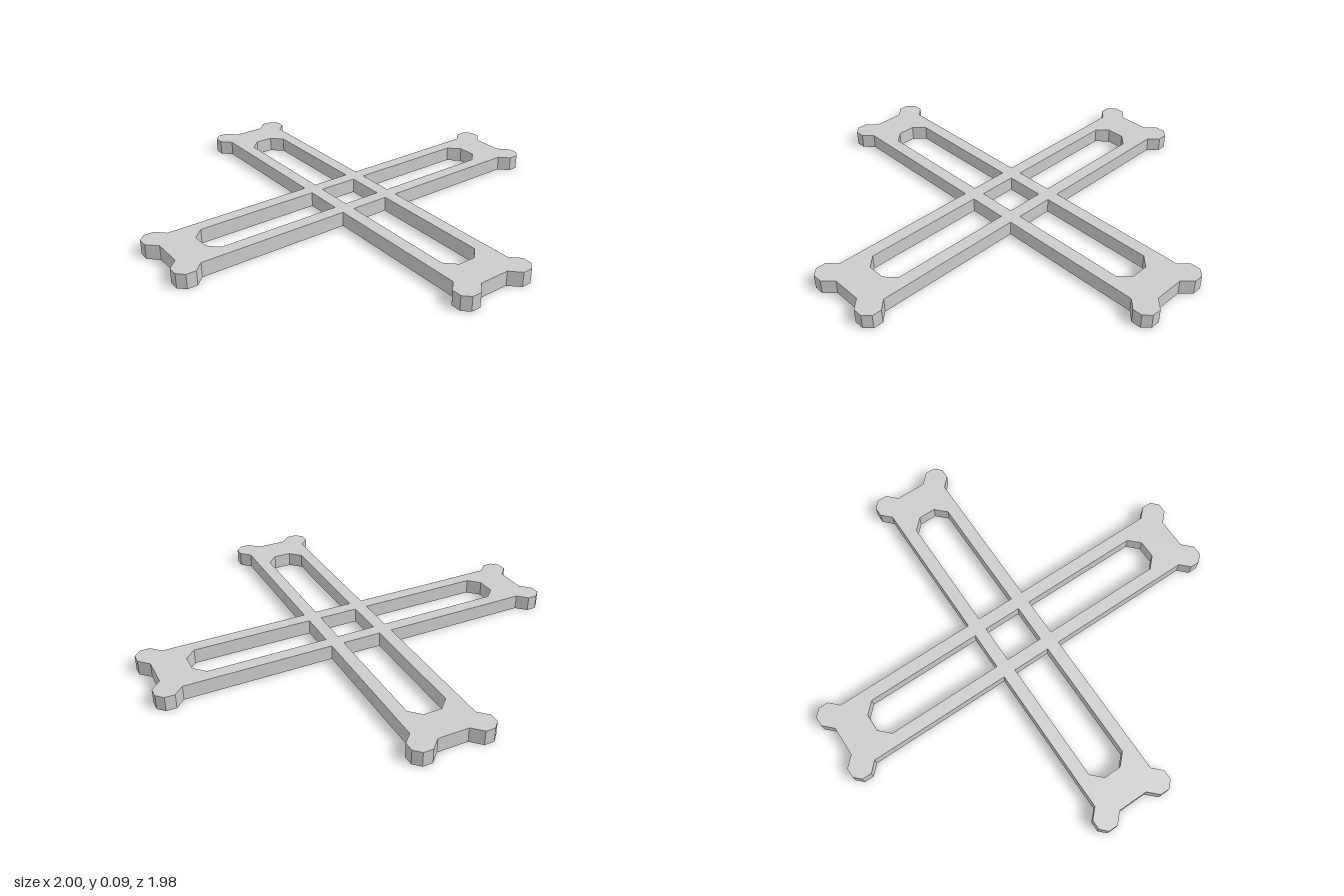
import * as THREE from 'three';

const HEIGHT = 0.085;
const CENTRE_Z = -0.01; // crossing point of the two bars
const OUTER = 0.265; // half width of a bar, measured along the axes
const INNER = 0.16; // half width of the slot in a bar

// Half outline of an arm end; the other half mirrors across the diagonal
const EAR = [[0.737, 0.862], [0.737, 0.942], [0.697, 0.982], [0.642, 0.982], [0.602, 0.942], [0.602, 0.867]];
const SLOT_END = [[0.703, 0.543], [0.703, 0.63]];

// Four arms counter-clockwise; the front pair reaches slightly further out
const ARMS = [
  { sx: 1, sy: 1, shift: 0 },
  { sx: -1, sy: 1, shift: 0 },
  { sx: -1, sy: -1, shift: 0.018 },
  { sx: 1, sy: -1, shift: 0.018 },
];

const swap = (pts) => pts.map(([u, v]) => [v, u]).reverse();

// Places quadrant points in an arm, keeping the counter-clockwise order
function place(pts, { sx, sy, shift }) {
  const out = pts.map(([u, v]) => new THREE.Vector2(sx * (u + shift), sy * (v + shift) - CENTRE_Z));
  return sx * sy > 0 ? out : out.reverse();
}

export function createModel() {
  const group = new THREE.Group();
  group.name = 'crossFrame';

  // Outer contour: arm ends joined by the notches between the arms
  const armEnd = [...swap(EAR), ...EAR];
  const notches = [[OUTER, 0], [0, OUTER], [-OUTER, 0], [0, -OUTER]];
  const outline = [];
  ARMS.forEach((arm, i) => {
    const [x, y] = notches[i];
    outline.push(new THREE.Vector2(x, y - CENTRE_Z), ...place(armEnd, arm));
  });
  const shape = new THREE.Shape(outline);

  // Long slot in each arm
  const a = (OUTER + INNER) / 2;
  const b = (OUTER - INNER) / 2;
  for (const arm of ARMS) {
    const base = place([[b, a], [a, b]], { ...arm, shift: 0 });
    const end = place([...SLOT_END, ...swap(SLOT_END)], arm);
    shape.holes.push(new THREE.Path([...base, ...end]));
  }

  // Diamond opening in the middle
  const diamond = [[INNER, 0], [0, INNER], [-INNER, 0], [0, -INNER]];
  shape.holes.push(new THREE.Path(diamond.map(([x, y]) => new THREE.Vector2(x, y - CENTRE_Z))));

  const geometry = new THREE.ExtrudeGeometry(shape, { depth: HEIGHT, bevelEnabled: false });
  geometry.rotateX(-Math.PI / 2);
  const material = new THREE.MeshStandardMaterial({ color: 0xcccccc, flatShading: true });
  const frame = new THREE.Mesh(geometry, material);
  frame.name = 'slottedCrossPlate';
  group.add(frame);
  return group;
}
